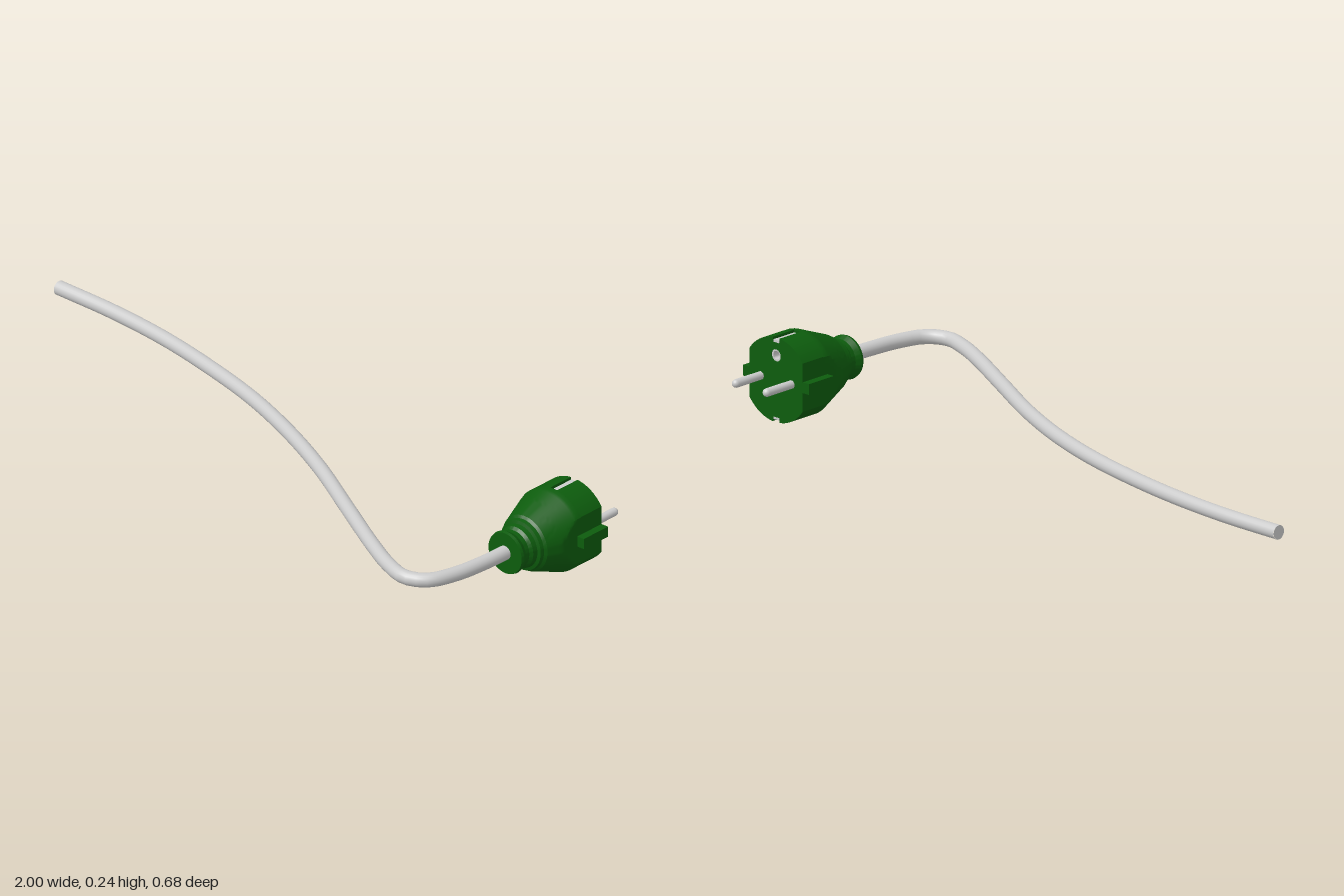
import * as THREE from 'three';
import { toCreasedNormals } from 'three/addons/utils/BufferGeometryUtils.js';

const R = 0.118;       // body radius
const FLAT = 0.097;    // half width between the flat sides
const BACK = -0.236;   // contact face
const STEP = -0.155;   // start of the earth clip slots

export function createModel() {
  const root = new THREE.Group();
  const green = new THREE.MeshStandardMaterial({ color: 0x0d5c0d });
  const grey = new THREE.MeshStandardMaterial({ color: 0xcccccc });
  const greyOpen = new THREE.MeshStandardMaterial({ color: 0xcccccc, side: THREE.DoubleSide });

  const plug = new THREE.Group();
  plug.name = 'plug';
  plug.position.set(0.88, R, 0);
  root.add(plug);

  const add = (parent, name, geometry, material, x = 0, y = 0, z = 0) => {
    const mesh = new THREE.Mesh(geometry, material);
    mesh.name = name;
    mesh.position.set(x, y, z);
    parent.add(mesh);
    return mesh;
  };

  // Stepped collar and flaring grip, turned about z and cut flat on both sides
  const profile = [
    [0, 0.038], [0.059, 0.038], [0.061, 0.03], [0.053, 0.015], [0.053, 0.001],
    [0.06, -0.007], [0.062, -0.021], [0.071, -0.024], [0.073, -0.035], [0.08, -0.041],
  ];
  for (let i = 1; i <= 12; i++) {
    const t = i / 12;
    profile.push([0.08 + (R - 0.08) * t, -0.041 - 0.099 * t]);
  }
  profile.push([R, STEP], [0, STEP]);
  const grip = new THREE.LatheGeometry(profile.map(([r, z]) => new THREE.Vector2(r, -z)), 64);
  grip.rotateX(-Math.PI / 2);
  const pos = grip.attributes.position;
  for (let i = 0; i < pos.count; i++) {
    pos.setX(i, THREE.MathUtils.clamp(pos.getX(i), -FLAT, FLAT));
  }
  add(plug, 'grip', toCreasedNormals(grip, 0.45), green);

  // Plug head: flattened disc with two clip slots and an earth socket
  const head = new THREE.Shape();
  const half = 0.012, floor = 0.104;
  const flatAngle = Math.acos(FLAT / R), slotAngle = Math.acos(half / R);
  const arc = (a, b) => {
    for (let i = 0; i <= 10; i++) {
      const t = a + (b - a) * i / 10;
      const p = [R * Math.cos(t), R * Math.sin(t)];
      if (head.curves.length || head.started) head.lineTo(...p);
      else { head.moveTo(...p); head.started = true; }
    }
  };
  arc(flatAngle, slotAngle);
  head.lineTo(half, floor);
  head.lineTo(-half, floor);
  arc(Math.PI - slotAngle, Math.PI - flatAngle);
  arc(Math.PI + flatAngle, Math.PI + slotAngle);
  head.lineTo(-half, -floor);
  head.lineTo(half, -floor);
  arc(-slotAngle, -flatAngle);
  head.closePath();
  const socket = new THREE.Path();
  socket.absarc(0, 0.068, 0.017, 0, Math.PI * 2, true);
  head.holes.push(socket);
  const headGeo = new THREE.ExtrudeGeometry(head, { depth: STEP - BACK, bevelEnabled: false, curveSegments: 12 });
  add(plug, 'head', toCreasedNormals(headGeo, 0.45), green, 0, 0, BACK);

  // Lining of the earth socket
  const sleeve = new THREE.LatheGeometry([
    new THREE.Vector2(0.012, 0), new THREE.Vector2(0.012, 0.075),
    new THREE.Vector2(0.017, 0.075), new THREE.Vector2(0.017, 0),
  ], 24).rotateX(-Math.PI / 2);
  add(plug, 'earthSleeve', toCreasedNormals(sleeve, 0.6), greyOpen, 0, 0.068, BACK + 0.077);

  for (const s of [-1, 1]) {
    // Guide rib on each flat side
    add(plug, 'guideRib', new THREE.BoxGeometry(0.04, 0.03, 0.096), green, s * 0.1, 0, -0.188);
    // Earth clip lying in its slot
    add(plug, 'earthClip', new THREE.BoxGeometry(0.02, 0.008, 0.08), grey, 0, s * 0.107, -0.1955);
    // Round-ended contact pin
    add(plug, 'pin', new THREE.CapsuleGeometry(0.0115, 0.107, 6, 20).rotateX(Math.PI / 2), grey, s * 0.056, 0, -0.277);
  }

  // Cable sweeping from the plug to its free end
  const path = new THREE.CatmullRomCurve3([
    [0.88, 0.12, 0.03], [0.877, 0.12, 0.12], [0.865, 0.121, 0.22], [0.836, 0.122, 0.295],
    [0.78, 0.122, 0.322], [0.7, 0.122, 0.298], [0.6, 0.123, 0.247], [0.4, 0.124, 0.13],
    [0.2, 0.125, 0.013], [0, 0.126, -0.085], [-0.2, 0.128, -0.162], [-0.4, 0.129, -0.217],
    [-0.6, 0.13, -0.258], [-0.8, 0.13, -0.281], [-1, 0.13, -0.288],
  ].map((p) => new THREE.Vector3(...p)));
  const cable = new THREE.Group();
  cable.name = 'cable';
  root.add(cable);
  add(cable, 'cord', new THREE.TubeGeometry(path, 90, 0.02, 20), grey);
  const end = add(cable, 'cordEnd', new THREE.CircleGeometry(0.02, 20), grey, -1, 0.13, -0.288);
  end.rotation.y = -Math.PI / 2;

  return root;
}
